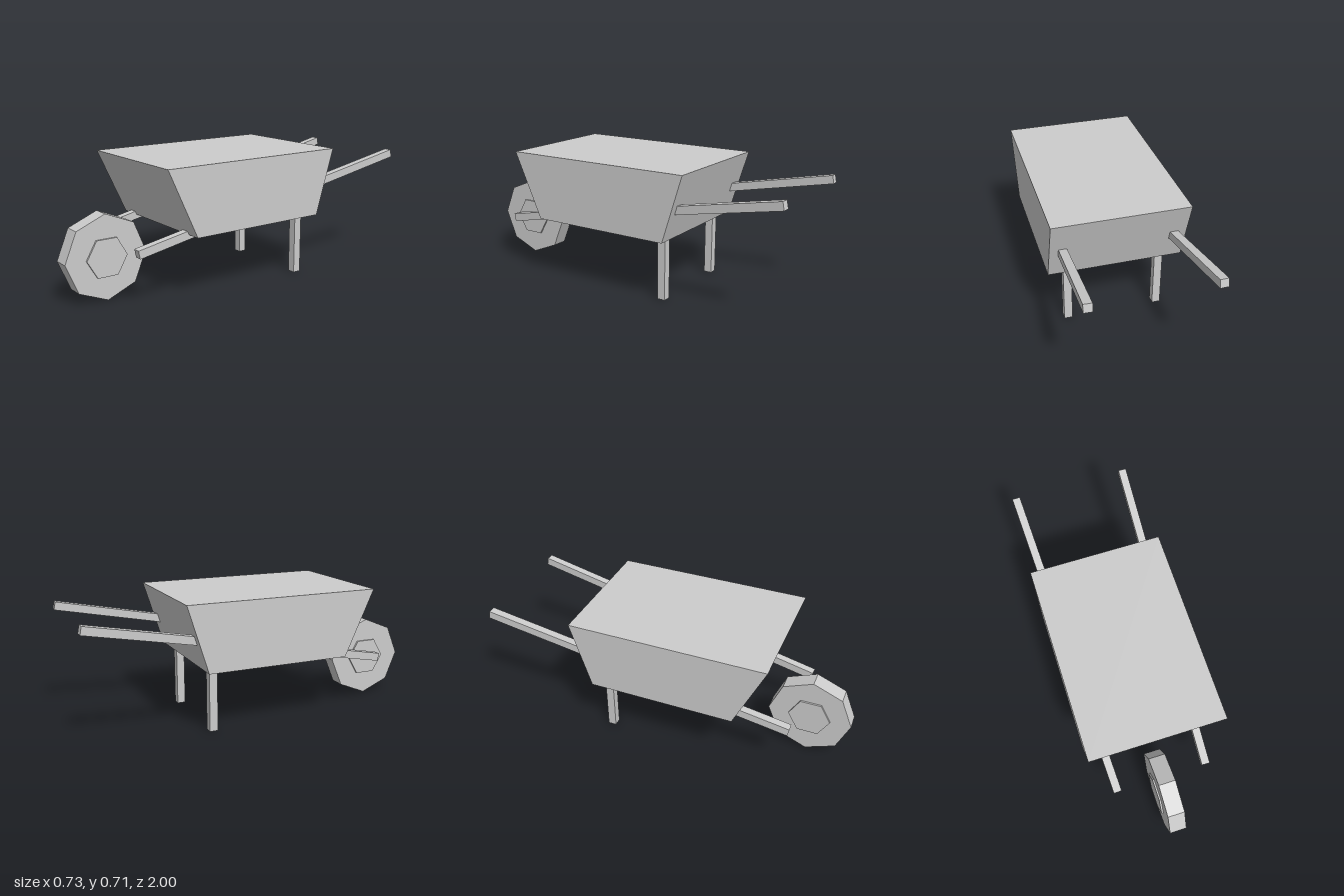
import * as THREE from 'three';

export function createModel() {
  const model = new THREE.Group();
  model.name = 'wheelbarrow';
  const grey = new THREE.MeshStandardMaterial({ color: 0xcccccc });
  grey.name = 'plain grey';
  grey.flatShading = true;

  const add = (name, geometry) => {
    const mesh = new THREE.Mesh(geometry, grey);
    mesh.name = name;
    model.add(mesh);
    return mesh;
  };

  // Tray: side profile in (z, y), extruded across the width
  const width = 0.726;
  const profile = new THREE.Shape([
    new THREE.Vector2(-0.366, 0.344),
    new THREE.Vector2(0.433, 0.344),
    new THREE.Vector2(0.6, 0.706),
    new THREE.Vector2(-0.479, 0.706),
  ]);
  const trayGeometry = new THREE.ExtrudeGeometry(profile, { depth: width, bevelEnabled: false });
  trayGeometry.translate(0, 0, -width / 2).rotateY(-Math.PI / 2);
  add('tray', trayGeometry);

  // Wheel and hub: faceted discs on a crosswise axle
  const disc = (name, radius, thickness, sides) => {
    const geometry = new THREE.CylinderGeometry(radius, radius, thickness, sides);
    geometry.rotateZ(Math.PI / 2);
    add(name, geometry).position.set(0, 0.229, 0.774);
  };
  disc('wheel', 0.227, 0.092, 8);
  disc('wheelHub', 0.114, 0.112, 6);

  for (const [side, s] of [['left', 1], ['right', -1]]) {
    // Handle: straight bar rising and spreading towards the back
    const front = new THREE.Vector3(s * 0.251, 0.286, 0.714);
    const back = new THREE.Vector3(s * 0.316, 0.626, -0.992);
    const handle = add(side + 'Handle', new THREE.BoxGeometry(0.044, 0.044, front.distanceTo(back)));
    handle.position.copy(front).add(back).multiplyScalar(0.5);
    handle.lookAt(front);

    // Leg: reaches into the tray
    const leg = add(side + 'Leg', new THREE.BoxGeometry(0.045, 0.38, 0.045));
    leg.position.set(s * 0.2525, 0.19, -0.309);
  }
  return model;
}
